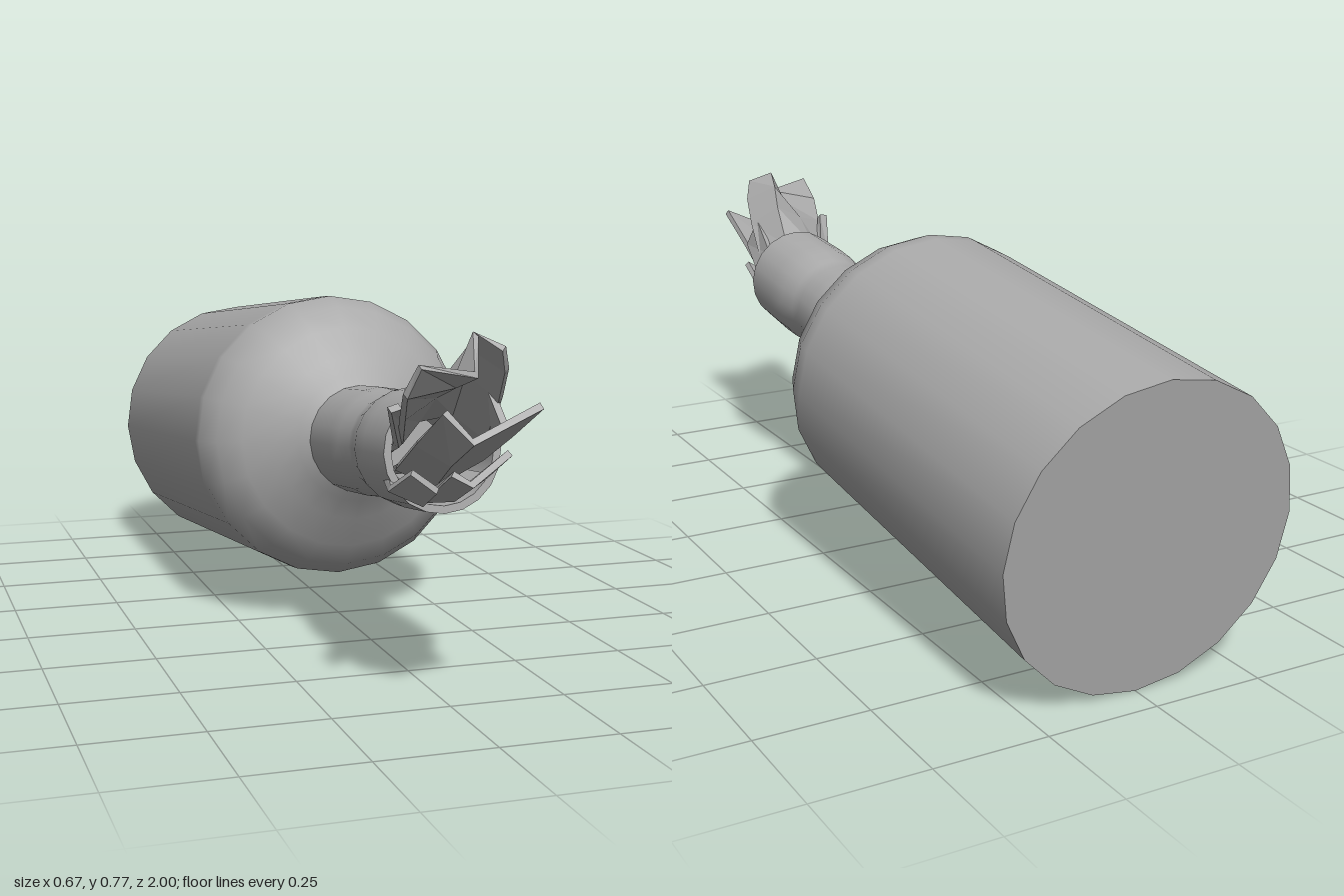
import * as THREE from 'three';

const grey = new THREE.MeshStandardMaterial({ color: 0xaaaaaa });
grey.name = 'plain grey';

// Thick strip of cloth lofted through rows of [x, y, z] points, edges closed
function clothStrip(name, rows, thickness = 0.014) {
  const grid = rows.map(r => r.map(p => new THREE.Vector3(...p)));
  const n = grid[0].length, m = grid.length;
  const loops = grid.map((row, i) => {
    const under = row.map((p, j) => {
      const across = row[Math.min(j + 1, n - 1)].clone().sub(row[Math.max(j - 1, 0)]);
      const along = grid[Math.min(i + 1, m - 1)][j].clone().sub(grid[Math.max(i - 1, 0)][j]);
      return p.clone().addScaledVector(along.cross(across).normalize(), -thickness);
    });
    return [...row, ...under.reverse()];
  });
  const k = 2 * n, pos = loops.flat().flatMap(p => p.toArray()), index = [];
  const quad = (a, b, c, d) => index.push(a, b, c, a, c, d);
  for (let i = 0; i < m - 1; i++) {
    for (let j = 0; j < k; j++) {
      const j2 = (j + 1) % k;
      quad(i * k + j, (i + 1) * k + j, (i + 1) * k + j2, i * k + j2);
    }
  }
  // End caps
  const e = (m - 1) * k;
  for (let j = 0; j < n - 1; j++) {
    quad(j, j + 1, k - 2 - j, k - 1 - j);
    quad(e + j, e + k - 1 - j, e + k - 2 - j, e + j + 1);
  }
  let geo = new THREE.BufferGeometry();
  geo.setAttribute('position', new THREE.Float32BufferAttribute(pos, 3));
  geo.setIndex(index);
  geo = geo.toNonIndexed();
  geo.computeVertexNormals();
  const mesh = new THREE.Mesh(geo, grey);
  mesh.name = name;
  return mesh;
}

// Turned part from [radius, height] points
function turned(name, profile) {
  const pts = profile.map(([r, h]) => new THREE.Vector2(r, h));
  const mesh = new THREE.Mesh(new THREE.LatheGeometry(pts, 20), grey);
  mesh.name = name;
  return mesh;
}

export function createModel() {
  const model = new THREE.Group();
  model.name = 'bottleWithCloth';

  // Bottle, built upright and tipped forward
  const bottle = new THREE.Group();
  bottle.name = 'bottle';
  bottle.add(
    turned('base', [[0, 0], [0.335, 0]]),
    turned('body', [[0.335, 0], [0.335, 0.9], [0.334, 0.935], [0.306, 1.0],
      [0.257, 1.046], [0.19, 1.09], [0.145, 1.128], [0.122, 1.147]]),
    turned('neck', [[0.123, 1.145], [0.122, 1.29], [0.119, 1.34], [0.112, 1.4],
      [0.115, 1.43], [0.125, 1.48], [0.127, 1.54], [0.125, 1.665]]),
    turned('lip', [[0.125, 1.665], [0.109, 1.665]]),
    turned('mouthWall', [[0.109, 1.665], [0.105, 1.5]]),
    turned('mouthFloor', [[0.105, 1.5], [0, 1.5]]),
  );
  bottle.rotation.x = Math.PI / 2 - 0.1067;
  bottle.position.set(0, 0.337, -0.963);
  model.add(bottle);

  // Twisted cloth stuffed into the mouth
  const cloth = new THREE.Group();
  cloth.name = 'cloth';
  cloth.add(
    clothStrip('upperFold', [
      [[-0.07, 0.5, 0.55], [-0.03, 0.56, 0.55], [0.02, 0.57, 0.55], [0.07, 0.53, 0.55]],
      [[-0.11, 0.55, 0.73], [-0.06, 0.59, 0.7], [0.02, 0.6, 0.7], [0.08, 0.55, 0.74]],
      [[-0.155, 0.62, 0.87], [-0.07, 0.65, 0.81], [0.01, 0.69, 0.78], [0.068, 0.64, 0.83]],
      [[-0.178, 0.67, 0.95], [-0.06, 0.68, 0.89], [0.0, 0.74, 0.82], [0.058, 0.7, 0.88]],
      [[-0.16, 0.725, 0.98], [-0.04, 0.705, 0.95], [-0.012, 0.77, 0.87], [0.038, 0.745, 0.91]],
    ]),
    clothStrip('middleFold', [
      [[-0.06, 0.46, 0.55], [-0.01, 0.46, 0.55], [0.06, 0.5, 0.55]],
      [[-0.105, 0.5, 0.72], [-0.03, 0.46, 0.72], [0.07, 0.51, 0.72]],
      [[-0.115, 0.57, 0.86], [-0.055, 0.53, 0.87], [0.065, 0.58, 0.87]],
      [[-0.1, 0.64, 0.97], [-0.06, 0.59, 0.995], [0.07, 0.65, 0.995]],
    ]),
    clothStrip('lowerFold', [
      [[-0.05, 0.43, 0.56], [0.0, 0.43, 0.56], [0.06, 0.46, 0.56]],
      [[-0.05, 0.43, 0.71], [0.01, 0.43, 0.72], [0.08, 0.47, 0.71]],
      [[-0.03, 0.5, 0.83], [0.0, 0.48, 0.84], [0.08, 0.535, 0.83]],
    ]),
    clothStrip('leftSpike', [
      [[-0.08, 0.5, 0.56], [-0.06, 0.54, 0.56]],
      [[-0.115, 0.54, 0.72], [-0.09, 0.57, 0.72]],
      [[-0.18, 0.635, 0.87], [-0.155, 0.64, 0.86]],
    ]),
    clothStrip('rightFold', [
      [[0.05, 0.55, 0.56], [0.085, 0.5, 0.56]],
      [[0.07, 0.58, 0.7], [0.1, 0.52, 0.71]],
      [[0.055, 0.65, 0.82], [0.075, 0.58, 0.85]],
    ]),
    clothStrip('leftTuck', [
      [[-0.09, 0.47, 0.6], [-0.05, 0.44, 0.6]],
      [[-0.123, 0.46, 0.73], [-0.05, 0.425, 0.73]],
      [[-0.1, 0.5, 0.79], [-0.045, 0.46, 0.79]],
    ]),
  );
  model.add(cloth);
  return model;
}
